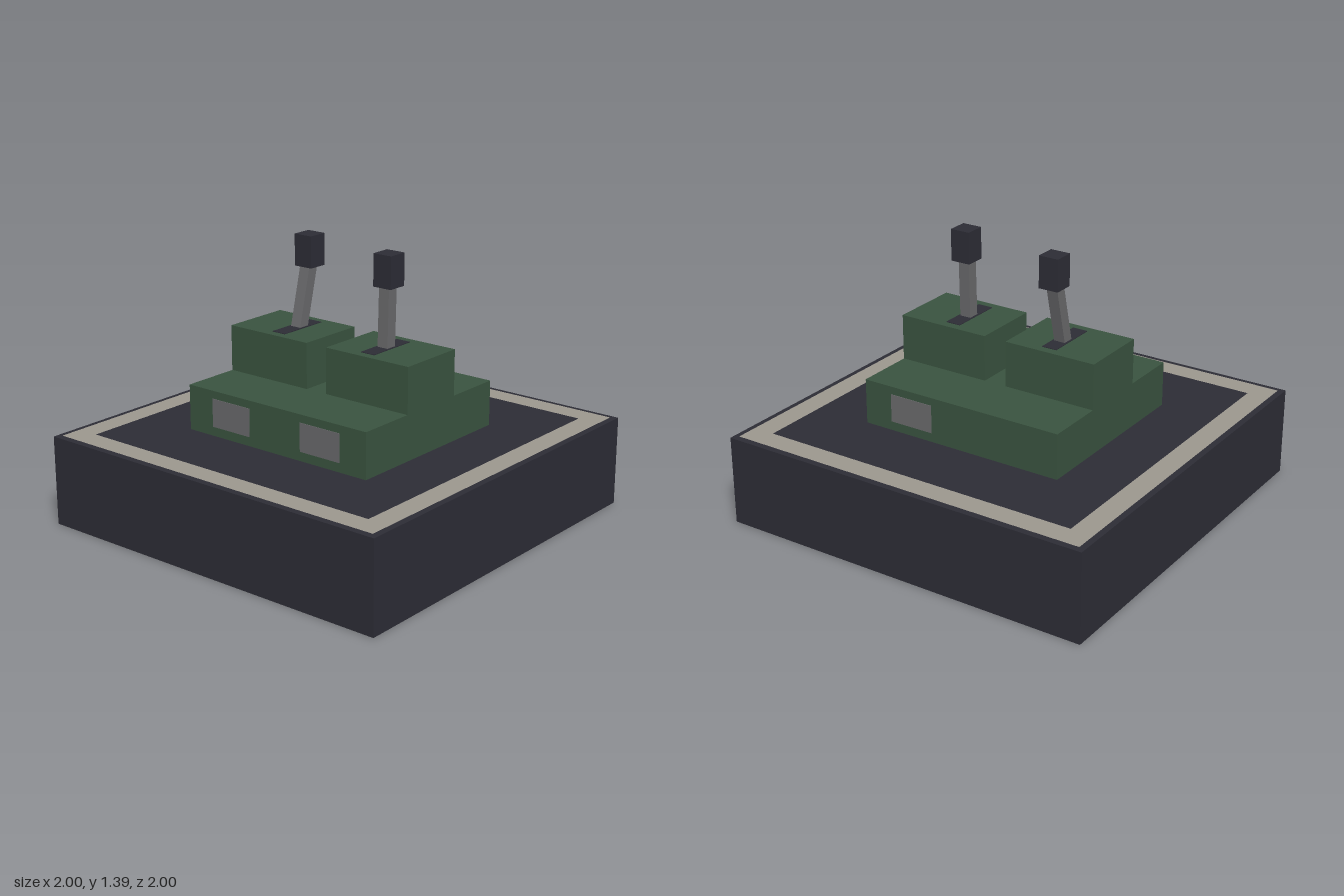
import * as THREE from 'three';

const mat = (name, color, side = THREE.FrontSide) => {
  const m = new THREE.MeshStandardMaterial({ color, side });
  m.name = name;
  return m;
};

export function createModel() {
  const group = new THREE.Group();
  const dark = mat('charcoal', 0x2d2d36);
  const shell = mat('charcoalShell', 0x2d2d36, THREE.DoubleSide);
  const tan = mat('stoneTrim', 0x9d988f);
  const green = mat('darkGreen', 0x3a5440);
  const grey = mat('metalGrey', 0x6a6a6c);

  const add = (name, geometry, material, x = 0, y = 0, z = 0) => {
    const mesh = new THREE.Mesh(geometry, material);
    mesh.name = name;
    mesh.position.set(x, y, z);
    group.add(mesh);
    return mesh;
  };
  // box given by its lower and upper corners
  const box = (name, material, [x0, y0, z0], [x1, y1, z1]) =>
    add(name, new THREE.BoxGeometry(x1 - x0, y1 - y0, z1 - z0), material,
      (x0 + x1) / 2, (y0 + y1) / 2, (z0 + z1) / 2);

  // hollow plinth, open underneath: drop the bottom face of a box
  const plinth = new THREE.BoxGeometry(2, 0.462, 2);
  const faces = Array.from(plinth.index.array);
  faces.splice(18, 6);
  plinth.setIndex(faces);
  plinth.clearGroups();
  add('plinth', plinth, shell, 0, 0.231, 0);

  // square trim ring painted on the plinth top
  const square = (s, Type) => new Type([[-s, -s], [s, -s], [s, s], [-s, s]].map(p => new THREE.Vector2(...p)));
  const ring = square(0.97, THREE.Shape);
  ring.holes.push(square(0.855, THREE.Path));
  add('trimRing', new THREE.ShapeGeometry(ring).rotateX(-Math.PI / 2), tan, 0, 0.465, 0);

  // control housing
  box('housing', green, [-0.495, 0.462, -0.555], [0.495, 0.695, 0.555]);

  // lever leaning along x from bottom centre to top centre
  const leverGeometry = (x0, x1, y0, y1) => {
    const g = new THREE.BoxGeometry(0.06, y1 - y0, 0.06).toNonIndexed();
    const p = g.attributes.position;
    for (let i = 0; i < p.count; i++) p.setX(i, p.getX(i) + (p.getY(i) > 0 ? x1 : x0));
    g.computeVertexNormals();
    return g;
  };

  // two lever stations, front and back
  const stations = [
    { side: 'front', s: 1, foot: 0.005, head: 0.02 },
    { side: 'back', s: -1, foot: 0.015, head: 0.1 },
  ];
  for (const { side, s, foot, head } of stations) {
    const z = 0.28 * s;
    add(side + 'Block', new THREE.BoxGeometry(0.37, 0.235, 0.495), green, 0, 0.8125, 0.3085 * s);
    add(side + 'Slot', new THREE.BoxGeometry(0.28, 0.006, 0.08), dark, 0, 0.93, z);
    add(side + 'Lever', leverGeometry(foot, head - 0.006, 0.92, 1.24), grey, 0, 1.08, z);
    add(side + 'Knob', new THREE.BoxGeometry(0.105, 0.163, 0.105), dark, head, 1.31, z);
  }

  // thin side plates: one on the left flank, two on the right
  for (const [name, x, z] of [['leftPlate', 0.495, 0.28], ['rightFrontPlate', -0.495, 0.28], ['rightBackPlate', -0.495, -0.28]])
    add(name, new THREE.BoxGeometry(0.006, 0.145, 0.24), grey, x, 0.582, z);

  return group;
}
